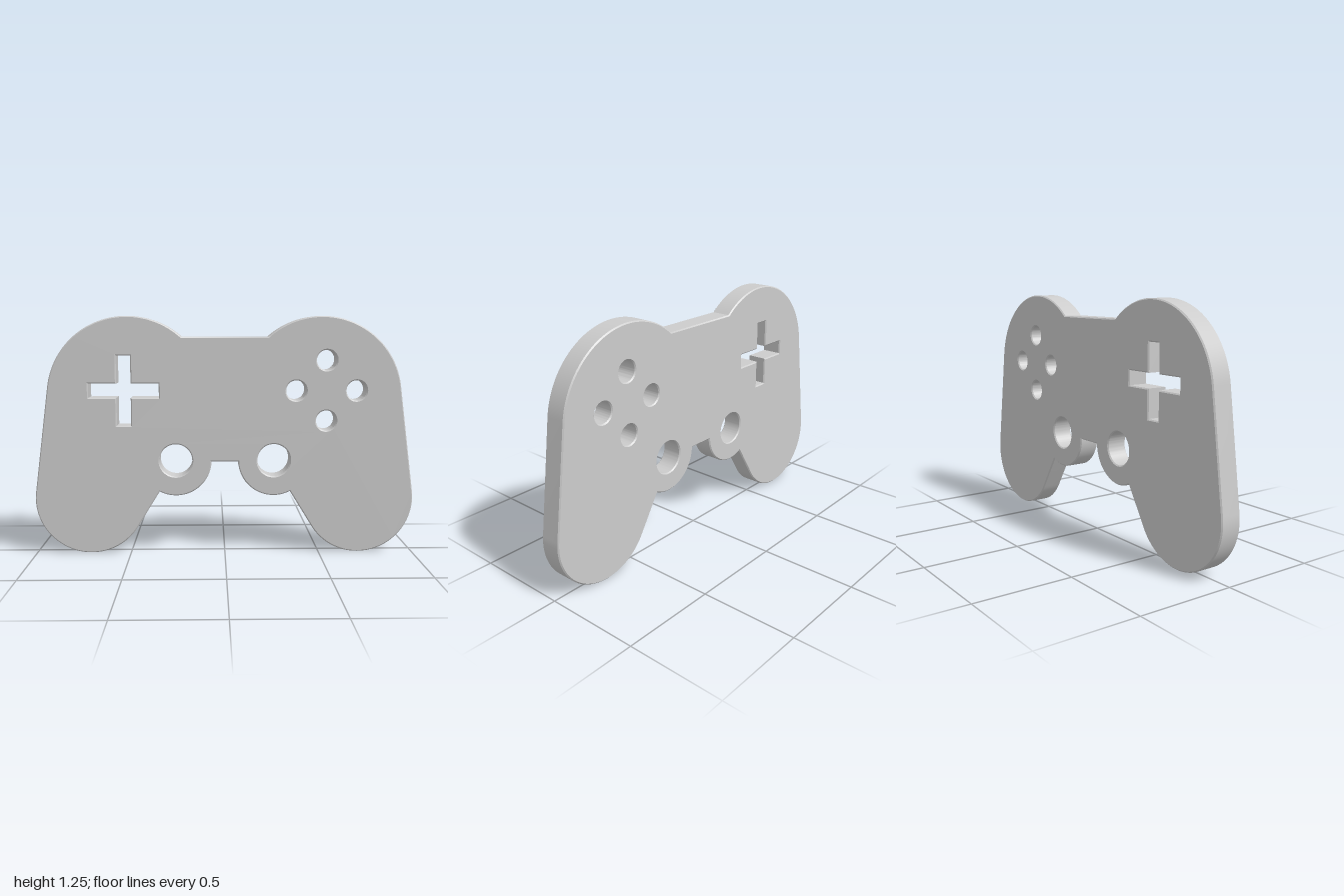
import * as THREE from 'three';
import { toCreasedNormals } from 'three/addons/utils/BufferGeometryUtils.js';

const DEPTH = 0.112, BEVEL = 0.006;

// Points along an arc, angles in degrees
function arc(cx, cy, r, from, to, n) {
  return Array.from({ length: n + 1 }, (_, i) => {
    const a = THREE.MathUtils.degToRad(from + (to - from) * i / n);
    return new THREE.Vector2(cx + r * Math.cos(a), cy + r * Math.sin(a));
  });
}

function circleHole(x, y, r) {
  return new THREE.Path().absarc(x, y, r, 0, Math.PI * 2);
}

// Plus-shaped opening: each quadrant adds one inner and two outer corners
function crossHole(cx, cy, reach, half) {
  const points = [];
  for (let q = 0; q < 4; q++) {
    for (const [x, y] of [[reach, -half], [reach, half], [half, half]]) {
      points.push(new THREE.Vector2(x, y)
        .rotateAround(new THREE.Vector2(), q * Math.PI / 2)
        .add(new THREE.Vector2(cx, cy)));
    }
  }
  return new THREE.Path(points);
}

// Outline: shoulder lobe, grip lobe and thumbstick lobe, mirrored across x = 0
function bodyShape() {
  const half = [
    ...arc(0.505, 0.83, 0.42, 131.6, 7.8, 48),
    ...arc(0.71, 0.29, 0.29, 7.8, -148.5, 48),
    ...arc(0.258, 0.497, 0.188, -62.5, -178, 32),
  ];
  const mirrored = half.map(p => new THREE.Vector2(-p.x, p.y)).reverse();
  return new THREE.Shape([...half, ...mirrored]);
}

export function createModel() {
  const group = new THREE.Group();
  group.name = 'gamepadPlate';

  const shape = bodyShape();

  // Directional pad opening
  shape.holes.push(crossHole(-0.527, 0.865, 0.183, 0.037));

  // Four action button holes in a diamond
  for (const [dx, dy] of [[1, 0], [0, 1], [-1, 0], [0, -1]]) {
    shape.holes.push(circleHole(0.531 + dx * 0.158, 0.865 + dy * 0.158, 0.053));
  }

  // Thumbstick holes
  for (const side of [-1, 1]) shape.holes.push(circleHole(side * 0.258, 0.497, 0.086));

  // Flat plate with finely broken edges
  const plate = new THREE.ExtrudeGeometry(shape, {
    depth: DEPTH - 2 * BEVEL,
    bevelEnabled: true,
    bevelThickness: BEVEL,
    bevelSize: BEVEL,
    bevelOffset: -BEVEL,
    bevelSegments: 1,
    curveSegments: 40,
  });
  plate.translate(0, 0, BEVEL - DEPTH / 2);

  const body = new THREE.Mesh(
    toCreasedNormals(plate, 0.5),
    new THREE.MeshStandardMaterial({ color: 0xcccccc })
  );
  body.name = 'body';
  group.add(body);
  return group;
}
